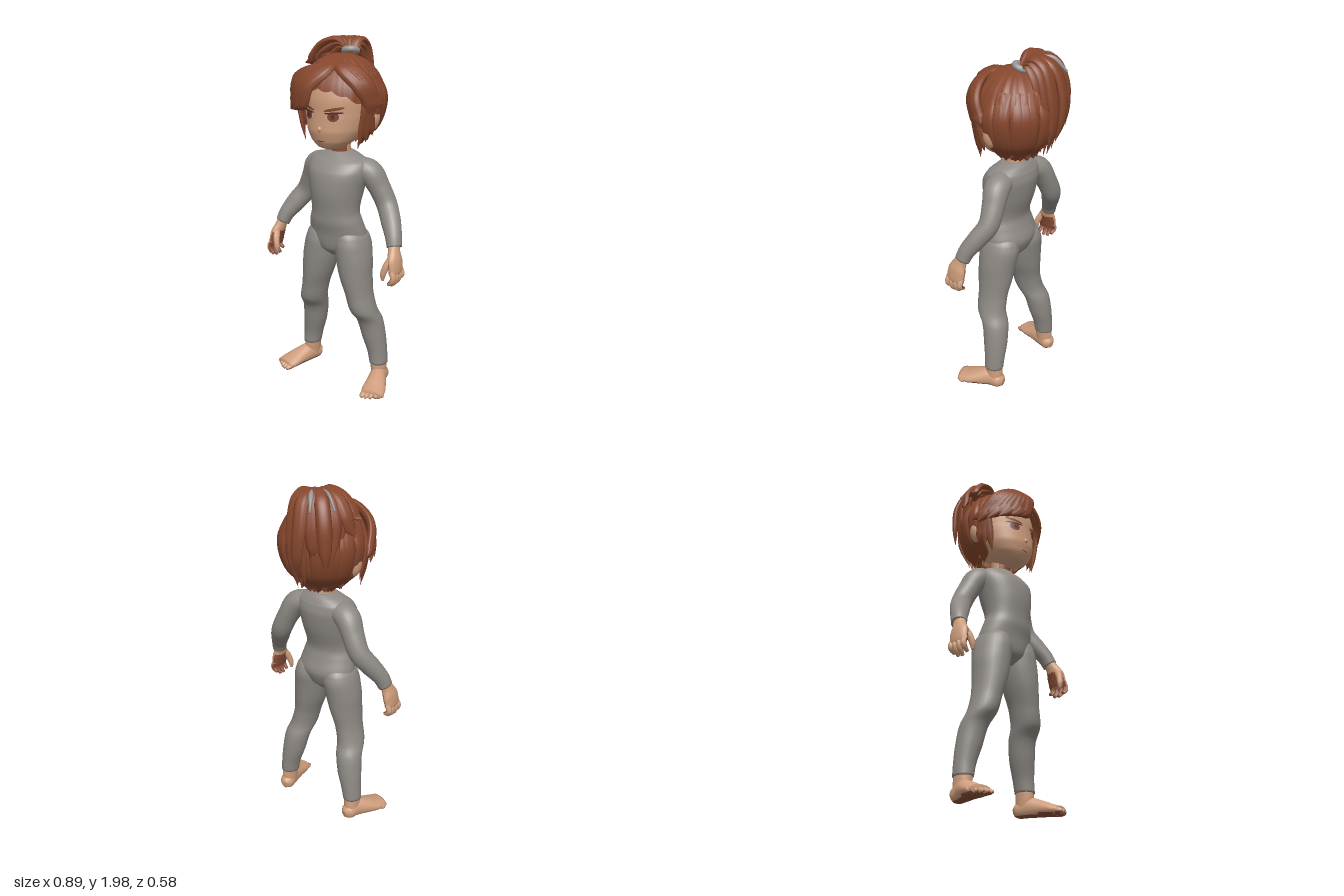
import * as THREE from 'three';

const mat = (name, color, side = THREE.FrontSide) => {
  const m = new THREE.MeshStandardMaterial({ color, side });
  m.name = name;
  return m;
};
const V = (x, y, z) => new THREE.Vector3(x, y, z);

// smooth path and sizes through sections [x, y, z, halfWidth, halfDepth]
function sampler(sections) {
  const path = new THREE.CatmullRomCurve3(sections.map(s => V(s[0], s[1], s[2])));
  const size = new THREE.CatmullRomCurve3(sections.map(s => V(s[3], s[4], 0)));
  return t => ({ p: path.getPoint(t), d: path.getTangent(t), s: size.getPoint(t) });
}

function geometry(pos, idx) {
  const g = new THREE.BufferGeometry();
  g.setAttribute('position', new THREE.Float32BufferAttribute(pos, 3));
  g.setIndex(idx);
  g.computeVertexNormals();
  return g;
}

// closed body with elliptical sections; depthDir(point) gives the direction of the half depth
function tube(sections, depthDir, { level = false, radial = 24, steps = 6, ridge = 0, minY = -9 } = {}) {
  const at = sampler(sections), n = (sections.length - 1) * steps, pos = [], idx = [];
  for (let i = -1; i <= n + 1; i++) {
    const { p, d, s } = at(Math.min(Math.max(i / n, 0), 1));
    if (level) d.set(0, Math.sign(d.y), 0);
    const depth = depthDir(p).clone();
    depth.addScaledVector(d, -depth.dot(d)).normalize();
    const wide = new THREE.Vector3().crossVectors(depth, d);
    const k = i < 0 || i > n ? 0 : 1;
    for (let j = 0; j < radial; j++) {
      const a = j / radial * Math.PI * 2, r = k * (1 + ridge * Math.cos(a * 6));
      const q = p.clone().addScaledVector(wide, Math.cos(a) * Math.max(s.x, 0) * r)
        .addScaledVector(depth, Math.sin(a) * Math.max(s.y, 0) * r);
      pos.push(q.x, Math.max(q.y, minY), q.z);
    }
  }
  for (let i = 0; i < n + 2; i++) for (let j = 0; j < radial; j++) {
    const a = i * radial + j, b = i * radial + (j + 1) % radial;
    idx.push(a, b, b + radial, a, b + radial, a + radial);
  }
  return geometry(pos, idx);
}

// two material groups: faces whose normal and position pass the test get the second material
function split(g, test) {
  const ix = g.index.array, lists = [[], []], p = V(0, 0, 0), n = V(0, 0, 0);
  for (let i = 0; i < ix.length; i += 3) {
    p.fromBufferAttribute(g.attributes.position, ix[i]);
    n.fromBufferAttribute(g.attributes.normal, ix[i]);
    lists[test(n, p) ? 1 : 0].push(ix[i], ix[i + 1], ix[i + 2]);
  }
  g.setIndex(lists.flat());
  g.addGroup(0, lists[0].length, 0);
  g.addGroup(lists[0].length, lists[1].length, 1);
  return g;
}

const front = () => V(0, 0, 1), up = () => V(0, 1, 0);
const outward = p => p.clone().sub(V(0, 1.675, 0));

const HEAD = [[0, 1.412, .11, .02, .025], [0, 1.425, .10, .07, .07], [0, 1.462, .075, .122, .12], [0, 1.52, .045, .16, .165],
  [0, 1.6, .02, .183, .187], [0, 1.68, .015, .19, .192], [0, 1.76, .01, .175, .18], [0, 1.84, 0, .12, .13], [0, 1.88, 0, .03, .03]];
const headAt = sampler(HEAD);

// depth of the face surface at x, y
function faceZ(x, y) {
  let lo = 0, hi = 1;
  for (let i = 0; i < 24; i++) {
    const m = (lo + hi) / 2;
    if (headAt(m).p.y < y) lo = m; else hi = m;
  }
  const { p, s } = headAt(lo);
  return p.z + s.y * Math.sqrt(Math.max(0, 1 - (x / s.x) ** 2));
}

// thin oval laid on the face
function facePatch(cx, cy, rx, ry, lift, tilt = 0) {
  const g = new THREE.RingGeometry(0.001, 1, 24, 4), p = g.attributes.position;
  for (let i = 0; i < p.count; i++) {
    const x = cx + p.getX(i) * rx, y = cy + p.getY(i) * ry + p.getX(i) * tilt;
    p.setXYZ(i, x, y, faceZ(x, y) + lift);
  }
  g.computeVertexNormals();
  return g;
}

// point on the hair shell: azimuth from the front, angle from the crown, scale
const shell = (a, th, k = 1) => [k * .232 * Math.sin(th) * Math.sin(a),
  1.675 + k * .235 * Math.cos(th), k * .225 * Math.sin(th) * Math.cos(a)];

// hair shell with combed grooves and a ragged hairline
function hairShell() {
  const A = 144, T = 24, pos = [], idx = [];
  for (let i = 0; i <= T; i++) for (let j = 0; j < A; j++) {
    const a = j / A * Math.PI * 2, c = Math.cos(a);
    const th = (1.9 - (c > 0 ? .65 : .82) * c + .06 * Math.abs(Math.sin(a * 9))) * i / T;
    const groove = 1 + Math.sin(th) * (.022 * Math.abs(Math.sin(a * 9 + .5 * th)) + .008 * Math.sin(a * 23 + th));
    pos.push(...shell(a, th, groove));
    if (i < T) {
      const p = i * A + j, q = i * A + (j + 1) % A;
      idx.push(p, p + A, q + A, p, q + A, q);
    }
  }
  return geometry(pos, idx);
}

// flat pointed lock of hair through points
function lock(points, w, th) {
  return tube(points.map((p, i) => {
    const t = i / (points.length - 1), k = Math.sqrt(1 - t) * (.5 + 1.1 * t);
    return [...p, w * k, th * k];
  }), outward, { radial: 18, ridge: .09 });
}

export function createModel() {
  const model = new THREE.Group();
  const suit = mat('suit grey', 0x8e8984), skin = mat('skin', 0xce9d7c), deep = mat('deep skin', 0x8a4f39);
  const hair = mat('hair brown', 0x86472d, THREE.DoubleSide), white = mat('eye white', 0xc4a699);
  const iris = mat('iris brown', 0x83422f), dark = mat('lash brown', 0x52291f), tie = mat('hair tie grey', 0x9a9896);
  const add = (name, geo, m) => {
    const mesh = new THREE.Mesh(geo, m);
    mesh.name = name;
    model.add(mesh);
    return mesh;
  };
  const ball = (name, m, p, r) => {
    const b = add(name, new THREE.SphereGeometry(1, 20, 14), m);
    b.position.set(...p);
    b.scale.set(...r);
    return b;
  };

  // torso and neck
  add('torso', tube([[0, .79, .04, .03, .05], [0, .84, .042, .12, .1], [0, .92, .035, .175, .12], [0, 1, .055, .16, .117],
    [0, 1.06, .062, .143, .113], [0, 1.18, .05, .16, .135], [0, 1.28, .035, .182, .135], [0, 1.335, .02, .178, .11],
    [0, 1.37, .01, .115, .082], [0, 1.388, .01, .064, .064]], front, { level: true, radial: 40 }), suit);
  add('neck', split(tube([[0, 1.35, .005, .055, .055], [0, 1.41, .012, .053, .057], [0, 1.5, .01, .06, .06]], front),
    n => n.z > .4), [skin, deep]);

  for (const s of [1, -1]) {
    const side = s > 0 ? 'left' : 'right';
    const mir = list => list.map(p => [s * p[0], ...p.slice(1)]);

    // legs
    add(side + 'Leg', tube(mir([[.085, .98, .045, .04, .06], [.096, .92, .037, .085, .108], [.103, .86, .037, .098, .12],
      [.115, .78, .043, .1, .114], [.13, .68, .047, .09, .105], [.155, .57, .047, .076, .09], [.177, .48, .037, .076, .087],
      [.194, .41, -.002, .076, .076], [.213, .3, -.02, .07, .07], [.233, .2, -.028, .057, .06], [.242, .135, -.028, .052, .058]]),
      front, { level: true }), suit);

    // feet with darker soles
    const sole = n => n.y < -.55;
    add(side + 'Ankle', tube(mir([[.24, .15, -.028, .046, .052], [.243, .1, -.03, .044, .054], [.245, .05, -.035, .042, .05]]),
      front, { level: true }), skin);
    add(side + 'Foot', split(tube(mir([[.235, .04, -.095, .02, .025], [.24, .045, -.07, .043, .045], [.254, .055, -.01, .047, .058],
      [.28, .045, .055, .058, .048], [.303, .032, .12, .068, .034], [.314, .026, .165, .062, .026]]), up, { minY: .008 }), sole), [skin, deep]);
    for (let i = 0; i < 5; i++)
      add(side + 'Toe', split(tube(mir([[.268 + i * .022, .024, .14 - i * .004, .017, .018],
        [.27 + i * .0235, .023, .175 - i * i * .003, i ? .015 : .02, .016],
        [.271 + i * .0245, .019, .2 - i * i * .0038, .008, .008]]), up, { radial: 12, minY: .006 }), sole), [skin, deep]);

    // arms
    add(side + 'Arm', tube(mir([[.06, 1.295, .01, .05, .06], [.12, 1.3, 0, .062, .07], [.178, 1.278, -.013, .069, .072],
      [.227, 1.2, -.03, .06, .064], [.275, 1.105, -.035, .059, .056], [.325, 1.03, .002, .057, .052], [.368, .96, .042, .046, .046],
      [.386, .91, .06, .04, .043]]), front), suit);

    // hands with darker palms
    const inner = (n, p) => s * n.x < -.35 && p.y < .86;
    add(side + 'Palm', split(tube(mir([[.38, .935, .055, .03, .033], [.392, .89, .072, .03, .04], [.407, .84, .085, .03, .058],
      [.415, .79, .09, .026, .058], [.414, .77, .09, .02, .05]]), front), inner), [skin, deep]);
    for (let i = 0; i < 4; i++) {
      const z = .045 + i * .03, drop = [.735, .712, .708, .722][i];
      add(side + 'Finger', split(tube(mir([[.413, .8, z, .015, .016], [.428, .765, z + .002, .016, .016],
        [.422, (drop + .765) / 2, z + .003, .015, .015], [.398, drop, z + .002, .009, .009]]), front, { radial: 12 }), inner), [skin, deep]);
    }
    add(side + 'Thumb', tube(mir([[.398, .865, .105, .02, .022], [.38, .82, .132, .019, .019], [.368, .775, .143, .016, .016],
      [.366, .742, .143, .008, .008]]), front, { radial: 12 }), skin);

    // ears, eyes and brows
    ball(side + 'Ear', skin, [s * .205, 1.58, .005], [.034, .064, .038]).rotation.z = -s * .2;
    add(side + 'EyeWhite', facePatch(s * .08, 1.602, .043, .024, .003), white);
    add(side + 'Iris', facePatch(s * .077, 1.604, .028, .025, .005), iris);
    add(side + 'Pupil', facePatch(s * .077, 1.604, .01, .012, .007), dark);
    add(side + 'Lash', facePatch(s * .08, 1.624, .048, .005, .008, s * .003), dark);
    add(side + 'Brow', facePatch(s * .08, 1.643, .05, .008, .006, s * .01), hair);

    // locks beside the face
    for (let i = 0; i < 3; i++)
      add(side + 'SideLock', lock([shell(s * 1.1, 1.1, 1), shell(s * (1.12 + i * .06), 1.6, 1.04),
        shell(s * (1.1 + i * .12), 2.05, 1.1), shell(s * (1.02 + i * .2), 2.45 - i * .1, 1.36 - i * .07)], .034, .016), hair);
  }

  // head
  add('head', tube(HEAD, front, { level: true, radial: 40 }), skin);
  ball('nose', skin, [0, 1.533, .206], [.014, .016, .013]);
  add('mouth', facePatch(0, 1.468, .026, .003, .003), iris);

  // hair shell and nape
  add('hairShell', hairShell(), hair);
  for (let i = 0; i < 15; i++) {
    const a = Math.PI + (i - 7) * .22, w = Math.sin(i * 2.3) * .08, mid = Math.cos((i - 7) * .17);
    add('backLock', lock([shell(a, .9, .98), shell(a + w, 1.5, 1.01), shell(a + w, 2.15, 1.02),
      shell(a, 2.5 + .1 * mid, 1.04), shell(a - w, 2.6 + .12 * mid + w, 1.14 + .05 * mid)], .056, .022), hair);
  }

  // swept fringe, short over the eyes and longer at the temple
  for (let i = 0; i < 9; i++) {
    const u = i / 8, a = -.18 - 1.02 * u, odd = i % 2;
    add('fringeLock', lock([shell(.28, .42 + .035 * i, .98), shell(.16 - .4 * u, .9, 1.13), shell(a * .7, 1.25 - .03 * u, 1.21 - .05 * u),
      shell(a - .05, 1.57 + .1 * u, 1.19 - .08 * u), shell(a - .28, 1.72 + .16 * odd * u, 1.22 - .05 * u + .05 * odd)], .054, .03), hair);
  }
  for (let i = 0; i < 5; i++) {
    const u = i / 4;
    add('partedLock', lock([shell(.3, .45 + .04 * i, .98), shell(.62 + .3 * u, .85, 1.09), shell(.95 + .25 * u, 1.2, 1.12),
      shell(1.17 + .25 * u, 1.55, 1.07), shell(1.2 + .35 * u, 1.9 - .3 * u, 1.09 + .07 * u)], .05, .028), hair);
  }

  // ponytail in three layers: side locks flick out, rear locks hang
  const band = add('hairTie', new THREE.TorusGeometry(.034, .017, 10, 24), tie);
  band.position.set(.02, 1.918, -.05);
  band.rotation.set(Math.PI / 2 - .35, .2, 0);
  const tail = (a, r, k, y) => [.02 + Math.sin(a) * r * k, y, -.055 - Math.cos(a) * r * k];
  for (let i = 0; i < 21; i++) {
    const u = (i % 7) / 6, layer = Math.floor(i / 7), a = -1.75 + 1.7 * u + layer * .05;
    const r = .225 - .035 * layer - .03 * u * u + .015 * Math.sin(i * 2.7), bend = .13 * Math.sin(i * 4.1);
    const tip = 1.84 - .32 * Math.sqrt(u) + .05 * Math.sin(i * 1.9) - .02 * layer;
    add('ponytailLock', lock([tail(a, r, 0, 1.9), tail(a, r, .35, 1.97 - .02 * layer), tail(a, r, .75, 1.945 - .03 * layer),
      tail(a, r, 1, 1.88 - .08 * u), tail(a + bend * .4, r, 1.08 - .06 * u, (1.86 + tip) / 2 - .04 * u),
      tail(a + bend, r, 1.24 - .42 * u, tip)], .049, .026), hair);
  }
  // grey streaks lying on the ponytail
  for (const [a, w] of [[-1.15, .007], [-.6, .013]])
    add('tailStreak', tube([[...tail(a, .2, .5, 1.98), .003, .006], [...tail(a, .2, .8, 1.968), w, .012],
      [...tail(a, .2, 1.15, 1.9), .003, .006]], up, { radial: 10 }), tie);
  return model;
}
